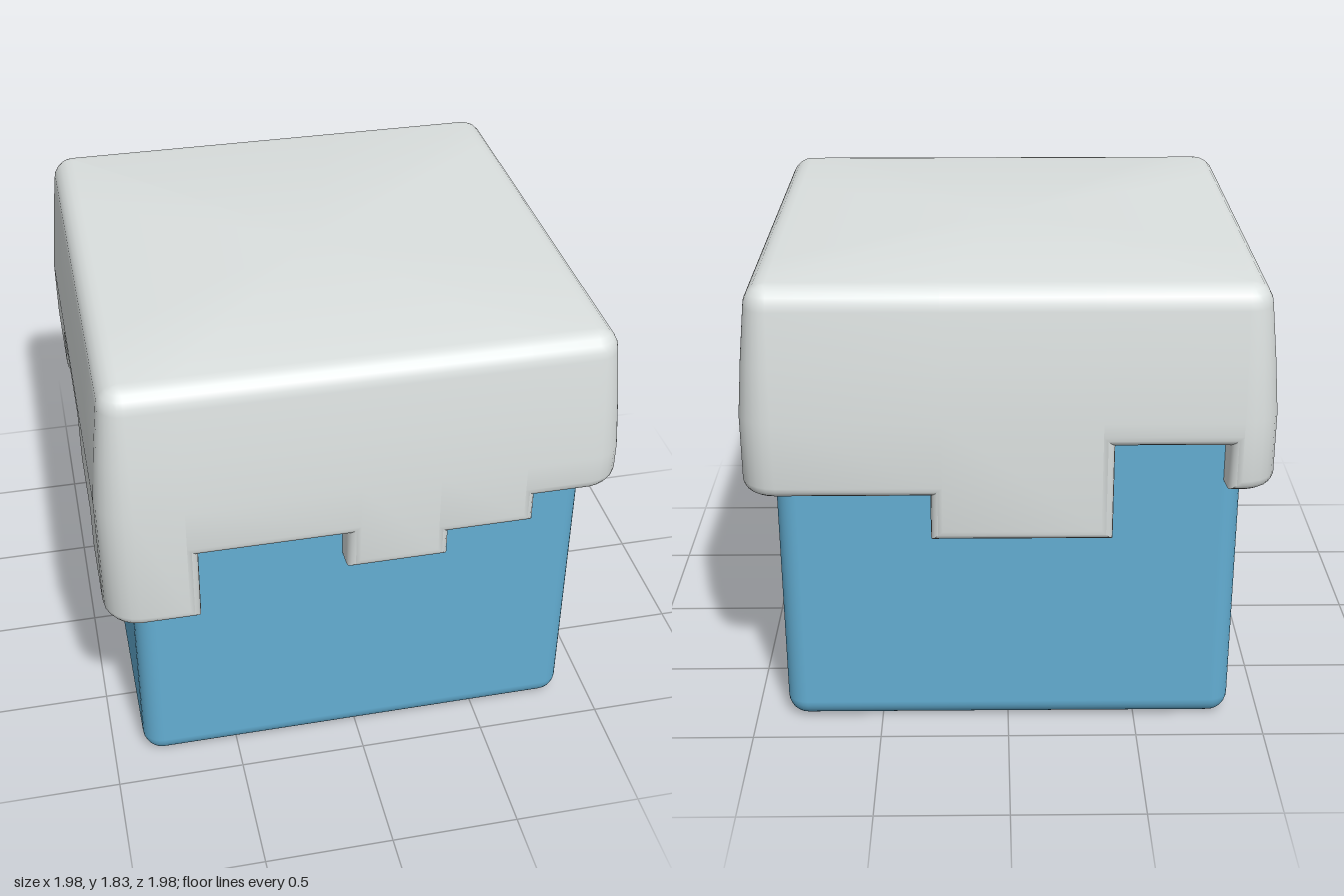
import * as THREE from 'three';
import { toCreasedNormals } from 'three/addons/utils/BufferGeometryUtils.js';
import { RoundedBoxGeometry } from 'three/addons/geometries/RoundedBoxGeometry.js';

const snow = new THREE.MeshStandardMaterial({ name: 'snowWhite', color: 0xdce1e0 });
const ice = new THREE.MeshStandardMaterial({ name: 'iceBlue', color: 0x63aed3 });

const CORE = 0.86;  // where the rounded corners start
const BEVEL = 0.045; // rounding of the drip edges

// Lower edge of the cap: [end of step along the side, height], for front, +x, back, -x
const STEPS = [
  [[-0.63, 0.81], [-0.07, 1.11], [0.32, 0.95], [0.65, 1.06], [CORE, 1.18]],
  [[-0.44, 1.19], [0.04, 0.95], [0.55, 1.25], [CORE, 1.03]],
  [[-0.29, 1.03], [0.39, 0.85], [0.81, 1.23], [CORE, 1.05]],
  [[-0.39, 1.05], [0.16, 1.22], [0.49, 1.0], [CORE, 0.82]],
];

// Columns running round the cap; shift points into the lower of two neighbouring drips
function capColumns() {
  const columns = [];
  STEPS.forEach((steps, side) => {
    const nextStart = STEPS[(side + 1) % 4][0][1];
    let u = -CORE, shift = 0;
    steps.forEach(([end, low], i) => {
      columns.push({ side, u, low, shift, angle: 0 });
      const next = steps[i + 1];
      shift = next ? Math.sign(low - next[1]) : 0;
      columns.push({ side, u: end, low, shift, angle: 0 });
      u = end;
    });
    const last = steps[steps.length - 1][1];
    for (let k = 1; k < 6; k++) {
      const low = THREE.MathUtils.lerp(last, nextStart, k / 6);
      columns.push({ side, u: CORE, low, shift: 0, angle: (k / 6) * Math.PI / 2 });
    }
  });
  return columns;
}

// Cross-section of the cap from its top centre to its underside: [out, y, sideways shift]
function capSection(low) {
  const rows = [[0, 1.83, BEVEL]];
  for (let k = 0; k <= 5; k++) {
    const t = (k / 5) * Math.PI / 2;
    rows.push([0.865 + 0.085 * Math.sin(t), 1.745 + 0.085 * Math.cos(t), BEVEL]);
  }
  rows.push([0.972, 1.54, BEVEL], [0.99, 1.33, BEVEL]);
  for (let k = 0; k <= 4; k++) {
    const t = (k / 4) * Math.PI / 2, s = BEVEL * (1 - Math.sin(t));
    rows.push([0.99 - BEVEL * (1 - Math.cos(t)), low + s, s]);
  }
  rows.push([0.80, low, 0]);
  return rows;
}

function place(column, [out, y, shift]) {
  const core = Math.min(CORE, out), radius = Math.max(0, out - CORE);
  const u = THREE.MathUtils.clamp(column.u + column.shift * shift, -core, core);
  const p = new THREE.Vector3(u + radius * Math.sin(column.angle), y, core + radius * Math.cos(column.angle));
  return p.applyAxisAngle(new THREE.Vector3(0, 1, 0), column.side * Math.PI / 2);
}

function capGeometry() {
  const grid = capColumns().map((c) => capSection(c.low).map((row) => place(c, row)));
  const points = [];
  const addTriangle = (a, b, c) => {
    if (new THREE.Triangle(a, b, c).getArea() > 1e-7) points.push(a, b, c);
  };
  grid.forEach((col, i) => {
    const next = grid[(i + 1) % grid.length];
    for (let j = 0; j < col.length - 1; j++) {
      addTriangle(col[j], col[j + 1], next[j + 1]);
      addTriangle(col[j], next[j + 1], next[j]);
    }
  });
  const geometry = new THREE.BufferGeometry().setFromPoints(points);
  return toCreasedNormals(geometry, 0.7);
}

export function createModel() {
  const model = new THREE.Group();
  model.name = 'snowCappedIceBlock';

  // Ice block, reaching up inside the cap
  const block = new THREE.Mesh(new RoundedBoxGeometry(1.755, 1.5, 1.755, 4, 0.08), ice);
  block.name = 'iceBlock';
  block.position.y = 0.75;
  model.add(block);

  // Snow cap with stepped drips on all four sides
  const cap = new THREE.Mesh(capGeometry(), snow);
  cap.name = 'snowCap';
  model.add(cap);
  return model;
}
